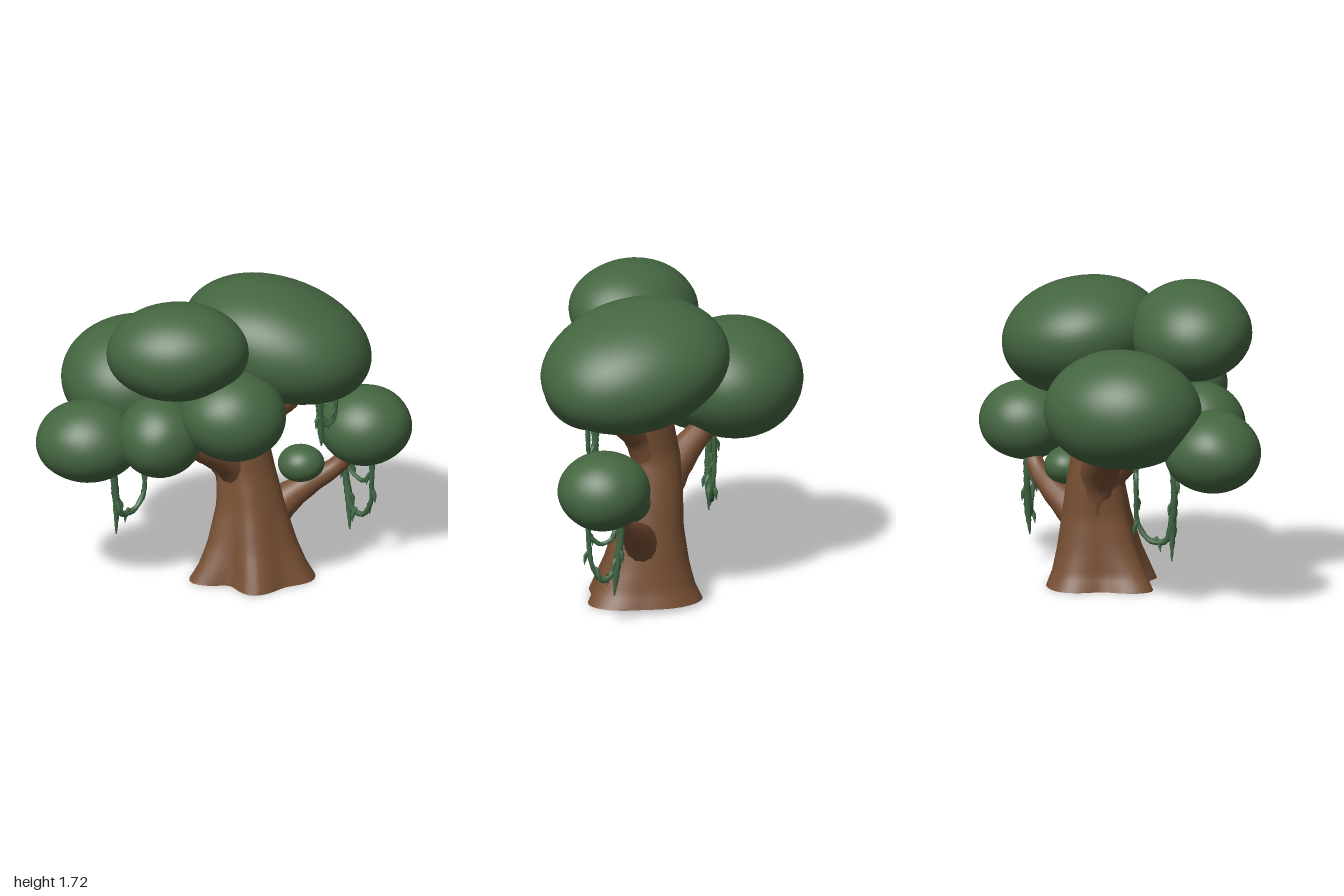
import * as THREE from 'three';
import { mergeVertices, mergeGeometries, toCreasedNormals } from 'three/addons/utils/BufferGeometryUtils.js';

const V = (p) => new THREE.Vector3(...p);

// Linear lookup in a table of evenly spaced values
function sample(list, t) {
  const f = Math.min(Math.max(t, 0), 1) * (list.length - 1);
  const i = Math.min(Math.floor(f), list.length - 2);
  return THREE.MathUtils.lerp(list[i], list[i + 1], f - i);
}

// Tube through points whose radius follows a list; bump roughens it
function taperedTube(points, radii, segments, sides, bump = 0) {
  const curve = new THREE.CatmullRomCurve3(points.map(V));
  const geo = new THREE.TubeGeometry(curve, segments, 1, sides, false);
  const pos = geo.attributes.position;
  const v = new THREE.Vector3();
  for (let i = 0; i <= segments; i++) {
    const c = curve.getPointAt(i / segments);
    const r = sample(radii, i / segments) * (1 + bump * Math.sin(i * 1.7));
    for (let j = 0; j <= sides; j++) {
      const k = i * (sides + 1) + j;
      v.fromBufferAttribute(pos, k).sub(c).multiplyScalar(r).add(c);
      pos.setXYZ(k, v.x, v.y, v.z);
    }
  }
  return geo;
}

// Slightly lumpy leaf ball with the given radii
function leafBall(size, seed) {
  const raw = new THREE.IcosahedronGeometry(1, 9);
  raw.deleteAttribute('uv');
  raw.deleteAttribute('normal');
  const geo = mergeVertices(raw, 1e-4);
  const pos = geo.attributes.position;
  const v = new THREE.Vector3();
  for (let i = 0; i < pos.count; i++) {
    v.fromBufferAttribute(pos, i);
    const lump = Math.sin(3.1 * v.x + seed) * Math.sin(2.7 * v.y + seed * 2) * Math.sin(3.3 * v.z + seed * 3);
    v.multiplyScalar(1 + 0.02 * lump);
    pos.setXYZ(i, v.x * size[0], v.y * size[1], v.z * size[2]);
  }
  geo.computeVertexNormals();
  return geo;
}

// Trunk sections: height, centre x, centre z, radius x, radius z, root depth
const SECTIONS = [
  [0, 0.15, -0.1, 0.29, 0.288, 0.2],
  [0.08, 0.15, -0.1, 0.255, 0.26, 0.17],
  [0.2, 0.145, -0.112, 0.222, 0.228, 0.11],
  [0.4, 0.135, -0.13, 0.178, 0.187, 0.06],
  [0.6, 0.11, -0.145, 0.155, 0.155, 0.03],
  [0.8, 0.09, -0.14, 0.135, 0.13, 0.02],
  [1.0, 0.14, -0.14, 0.13, 0.125, 0.02],
  [1.25, 0.2, -0.15, 0.1, 0.1, 0],
];

// Roots and hollows around the trunk: angle in degrees, strength
const ROOTS = [[13, 1], [48, -0.2], [85, 0.7], [118, -1], [153, 1.3], [198, -0.7], [245, 0.75], [315, -0.35], [373, 1]];

function rootStrength(x, z) {
  const a = 13 + THREE.MathUtils.euclideanModulo(THREE.MathUtils.radToDeg(Math.atan2(z, x)) - 13, 360);
  const i = Math.max(1, ROOTS.findIndex((r) => r[0] >= a));
  const [a0, s0] = ROOTS[i - 1], [a1, s1] = ROOTS[i];
  return THREE.MathUtils.lerp(s0, s1, THREE.MathUtils.smoothstep(a, a0, a1));
}

function trunkGeometry() {
  const geo = new THREE.CylinderGeometry(1, 1, 1, 60, 28);
  const pos = geo.attributes.position;
  for (let i = 0; i < pos.count; i++) {
    const t = pos.getY(i) + 0.5;
    const [y, cx, cz, rx, rz, depth] = SECTIONS[0].map((_, k) => sample(SECTIONS.map((s) => s[k]), t));
    const x = pos.getX(i), z = pos.getZ(i);
    const k = 1 + depth * rootStrength(x, z);
    pos.setXYZ(i, cx + x * rx * k, y, cz + z * rz * k);
  }
  return toCreasedNormals(geo, 1);
}

// Vine with small hanging twigs along it
function vineGeometry(points, radii, twigs) {
  const parts = [taperedTube(points, radii, 40, 7, 0.1)];
  const curve = new THREE.CatmullRomCurve3(points.map(V));
  for (let i = 0; i < twigs; i++) {
    const p = curve.getPointAt((i + 0.6) / (twigs + 1));
    const a = i * 2.4;
    const dx = Math.cos(a) * 0.03, dz = Math.sin(a) * 0.03;
    parts.push(taperedTube(
      [[p.x, p.y + 0.03, p.z], [p.x + dx * 0.7, p.y, p.z + dz * 0.7], [p.x + dx, p.y - 0.05, p.z + dz]],
      [0.01, 0.013, 0.002], 6, 6));
  }
  return mergeGeometries(parts);
}

export function createModel() {
  const bark = new THREE.MeshStandardMaterial({ color: 0x785034 });
  bark.name = 'bark brown';
  const leaf = new THREE.MeshStandardMaterial({ color: 0x456641 });
  leaf.name = 'leaf green';
  const vine = new THREE.MeshStandardMaterial({ color: 0x3f6643 });
  vine.name = 'vine green';

  const model = new THREE.Group();
  model.name = 'tree';
  const add = (name, geo, mat) => {
    const mesh = new THREE.Mesh(geo, mat);
    mesh.name = name;
    model.add(mesh);
    return mesh;
  };

  add('trunk', trunkGeometry(), bark);

  // Branches: name, path, radii
  [
    ['frontBranch', [[0.1, 0.5, -0.14], [0.03, 0.66, -0.06], [-0.12, 0.78, 0.07], [-0.27, 0.9, 0.18]], [0.11, 0.09, 0.06, 0.05]],
    ['backBranch', [[0.11, 0.42, -0.15], [0.04, 0.62, -0.15], [-0.14, 0.78, -0.17], [-0.4, 0.95, -0.2]], [0.14, 0.115, 0.075, 0.06]],
    ['sideBranch', [[0.18, 0.2, -0.13], [0.29, 0.36, -0.2], [0.44, 0.46, -0.27], [0.6, 0.56, -0.31], [0.7, 0.7, -0.32]], [0.12, 0.095, 0.068, 0.05, 0.045]],
    ['crownBranch', [[0.12, 0.75, -0.14], [0.2, 0.93, -0.12], [0.33, 1.03, -0.11], [0.45, 1.18, -0.1]], [0.1, 0.095, 0.075, 0.06]],
  ].forEach(([name, path, radii]) => add(name, taperedTube(path, radii, 24, 14, 0.02), bark));

  // Foliage: name, centre, radii, rotation
  [
    ['crownFoliage', [0.28, 1.352, -0.155], [0.535, 0.322, 0.447], [-0.1, -0.36, -0.22]],
    ['topFrontFoliage', [-0.23, 1.45, 0.282], [0.388, 0.267, 0.325], [-0.15, 0, 0.05]],
    ['backRightFoliage', [-0.48, 1.103, -0.2], [0.435, 0.322, 0.388], [0, Math.PI / 4, 0]],
    ['lowRightFoliage', [-0.72, 0.888, 0.23], [0.28, 0.222, 0.26], [0, 0, 0]],
    ['lowFrontFoliage', [-0.325, 0.957, 0.305], [0.23, 0.222, 0.238], [0, 0, 0]],
    ['frontFoliage', [0.07, 1.093, 0.292], [0.292, 0.249, 0.287], [0, 0, -0.1]],
    ['leftFoliage', [0.745, 0.788, -0.325], [0.255, 0.215, 0.247], [0, 0, 0]],
    ['smallFoliage', [0.405, 0.602, -0.21], [0.126, 0.101, 0.117], [0, 0, 0]],
  ].forEach(([name, centre, size, turn], i) => {
    const ball = add(name, leafBall(size, i * 1.3 + 0.5), leaf);
    ball.position.set(...centre);
    ball.rotation.set(...turn, 'ZYX');
  });

  // Vines: name, path, radii, twigs
  const strand = [0.019, 0.021, 0.019, 0.021, 0.017, 0.004];
  const loop = [0.02, 0.016, 0.013, 0.014, 0.019];
  [
    ['rightVineStrand', [[-0.585, 0.9, 0.04], [-0.595, 0.66, 0.055], [-0.58, 0.45, 0.05], [-0.58, 0.265, 0.045]], strand, 4],
    ['rightVineLoop', [[-0.59, 0.52, 0.05], [-0.555, 0.375, 0.02], [-0.49, 0.37, -0.05], [-0.44, 0.46, -0.1], [-0.445, 0.62, -0.11], [-0.43, 0.9, -0.11]], loop, 5],
    ['leftVineStrand', [[0.63, 0.68, -0.35], [0.635, 0.5, -0.35], [0.655, 0.33, -0.34], [0.66, 0.17, -0.325]], strand, 4],
    ['leftVineLoop', [[0.645, 0.42, -0.345], [0.67, 0.3, -0.32], [0.73, 0.27, -0.3], [0.78, 0.36, -0.27], [0.785, 0.48, -0.25], [0.79, 0.66, -0.25]], loop, 5],
    ['leftVineSmallLoop', [[0.63, 0.6, -0.35], [0.67, 0.51, -0.33], [0.73, 0.475, -0.29], [0.78, 0.52, -0.25]], [0.014, 0.011, 0.014], 1],
    ['crownVineStrand', [[0.505, 1.1, -0.07], [0.515, 0.97, -0.07], [0.525, 0.765, -0.07]], strand, 2],
    ['crownVineLoop', [[0.52, 0.97, -0.07], [0.545, 0.89, -0.075], [0.585, 0.91, -0.085], [0.6, 1.0, -0.09], [0.6, 1.1, -0.09]], [0.013, 0.012, 0.016], 2],
  ].forEach(([name, path, radii, twigs]) => add(name, vineGeometry(path, radii, twigs), vine));

  return model;
}
